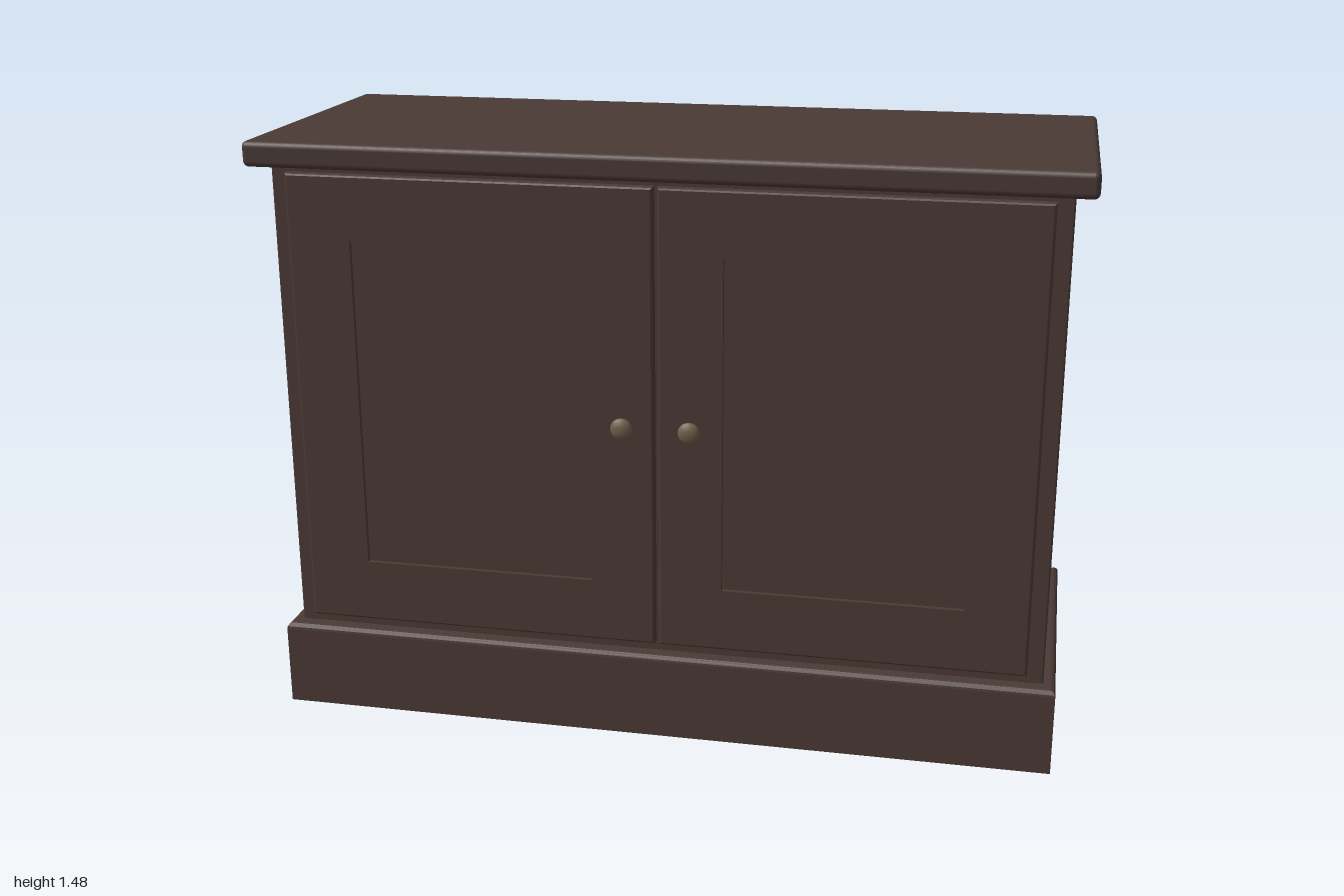
import * as THREE from 'three';
import { RoundedBoxGeometry } from 'three/addons/geometries/RoundedBoxGeometry.js';

const wood = new THREE.MeshStandardMaterial({ color: 0x4b3a36 });
const brass = new THREE.MeshStandardMaterial({ color: 0x6e634c });

// Solid lofted along z through centred rectangles [halfWidth, halfHeight, z], with sharp edges.
function rectLoft(sections) {
  const pos = [];
  const ring = ([w, h, z]) => [[-w, -h, z], [w, -h, z], [w, h, z], [-w, h, z]];
  const quad = (a, b, c, d) => pos.push(...a, ...b, ...c, ...a, ...c, ...d);
  const rings = sections.map(ring);
  for (let i = 0; i < rings.length - 1; i++) {
    for (let k = 0; k < 4; k++) {
      const n = (k + 1) % 4;
      quad(rings[i][k], rings[i][n], rings[i + 1][n], rings[i + 1][k]);
    }
  }
  const [a, b, c, d] = rings[0];
  quad(d, c, b, a);
  quad(...rings[rings.length - 1]);
  const geo = new THREE.BufferGeometry();
  geo.setAttribute('position', new THREE.Float32BufferAttribute(pos, 3));
  geo.computeVertexNormals();
  return geo;
}

function add(parent, name, geometry, material, x = 0, y = 0, z = 0) {
  const mesh = new THREE.Mesh(geometry, material);
  mesh.name = name;
  mesh.position.set(x, y, z);
  parent.add(mesh);
  return mesh;
}

export function createModel() {
  const model = new THREE.Group();
  model.name = 'cabinet';

  // Plinth with a rounded upper edge
  const plinth = [[0.98, 0.39, 0], [0.98, 0.39, 0.205]];
  for (let i = 1; i <= 4; i++) {
    const t = (i / 4) * Math.PI / 2, inset = 0.015 * (1 - Math.cos(t));
    plinth.push([0.98 - inset, 0.39 - inset, 0.205 + 0.015 * Math.sin(t)]);
  }
  add(model, 'plinth', rectLoft(plinth).rotateX(-Math.PI / 2), wood);

  // Carcass and top board
  add(model, 'carcass', new RoundedBoxGeometry(1.9, 1.215, 0.7, 2, 0.005), wood, 0, 0.8125, 0);
  add(model, 'topBoard', new RoundedBoxGeometry(2, 0.062, 0.81, 3, 0.014), wood, 0, 1.446, 0);

  // Door: eased outer edge, flat frame, then a recessed panel
  const doorGeo = rectLoft([
    [0.4525, 0.5775, 0], [0.4525, 0.5775, 0.016],
    [0.4505, 0.5755, 0.021], [0.4465, 0.5715, 0.023],
    [0.295, 0.4175, 0.023], [0.295, 0.4175, 0.011],
  ]);

  // Knob: low domed button
  const profile = [[0.018, 0], [0.025, 0.005], [0.027, 0.011], [0.025, 0.018], [0.018, 0.023], [0.009, 0.025], [0, 0.026]];
  const knobGeo = new THREE.LatheGeometry(profile.map(p => new THREE.Vector2(...p)), 24).rotateX(Math.PI / 2);

  for (const [side, s] of [['left', 1], ['right', -1]]) {
    add(model, side + 'Door', doorGeo, wood, s * 0.4575, 0.8215, 0.349);
    add(model, side + 'Knob', knobGeo, brass, s * 0.083, 0.81, 0.37);
  }
  return model;
}
